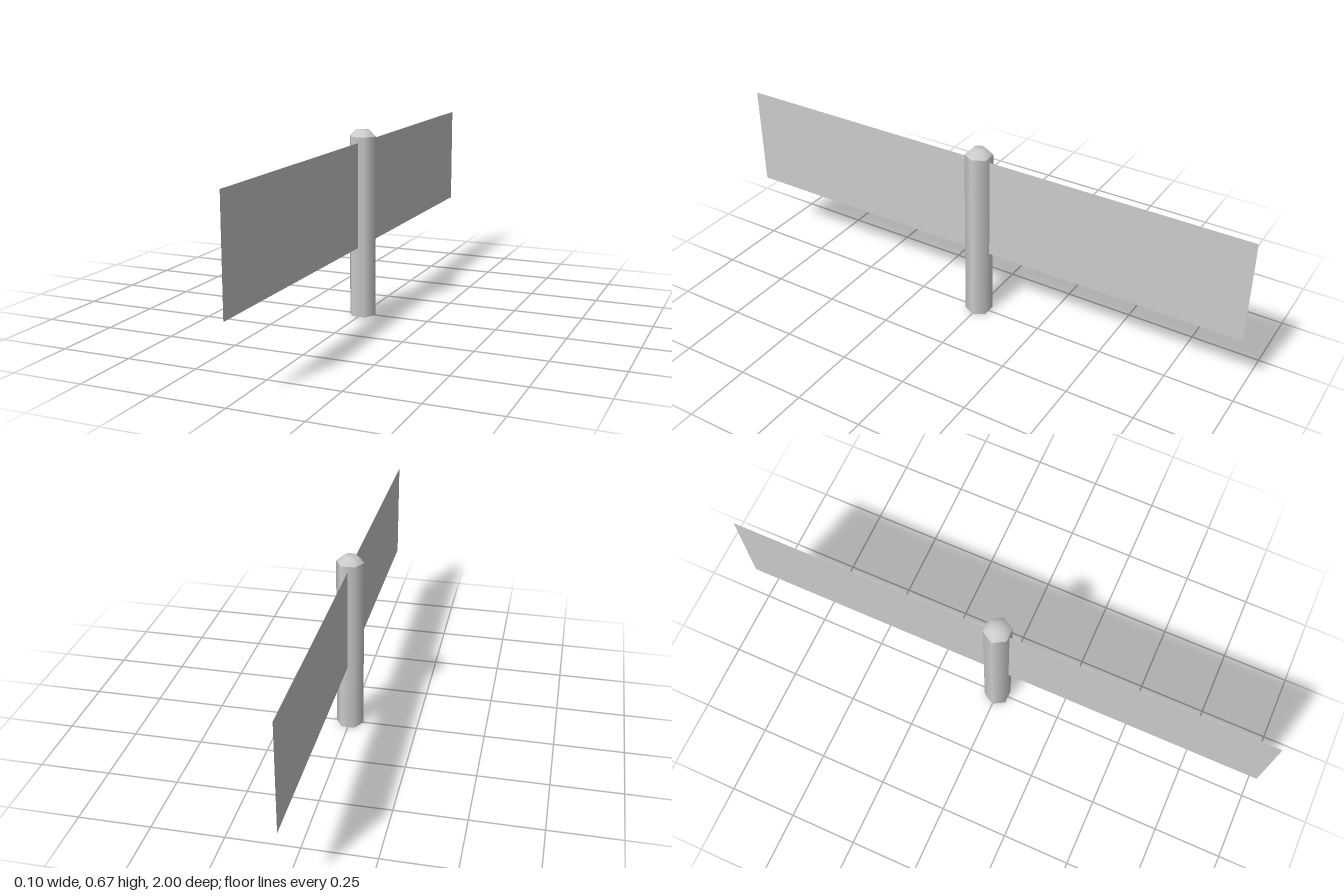
import * as THREE from 'three';

export function createModel() {
  const group = new THREE.Group();
  const material = new THREE.MeshStandardMaterial({ color: 0xcccccc });
  const sheet = new THREE.MeshStandardMaterial({ color: 0xcccccc, side: THREE.DoubleSide });

  const add = (name, geometry, mat, y) => {
    const mesh = new THREE.Mesh(geometry, mat);
    mesh.name = name;
    mesh.position.y = y;
    group.add(mesh);
    return mesh;
  };

  const sides = 6, turn = Math.PI / 6; // corners point along x
  const radius = 0.05, shoulder = 0.652, top = 0.674;

  // Hexagonal post, smooth around, open where the cap sits
  add('post', new THREE.CylinderGeometry(radius, radius, shoulder, sides, 1, true, turn), material, shoulder / 2);

  // Underside of the post
  const base = add('postBase', new THREE.CircleGeometry(radius, sides), material, 0);
  base.rotation.x = Math.PI / 2;

  // Bevelled cap with soft shading
  const profile = [[radius, shoulder], [0.026, top], [0, top]].map(([r, y]) => new THREE.Vector2(r, y));
  add('cap', new THREE.LatheGeometry(profile, sides, turn), material, 0);

  // Thin panel running front to back through the post
  const bottomEdge = 0.255, topEdge = 0.632;
  const panel = add('panel', new THREE.PlaneGeometry(2, topEdge - bottomEdge), sheet, (bottomEdge + topEdge) / 2);
  panel.rotation.y = Math.PI / 2;

  return group;
}
